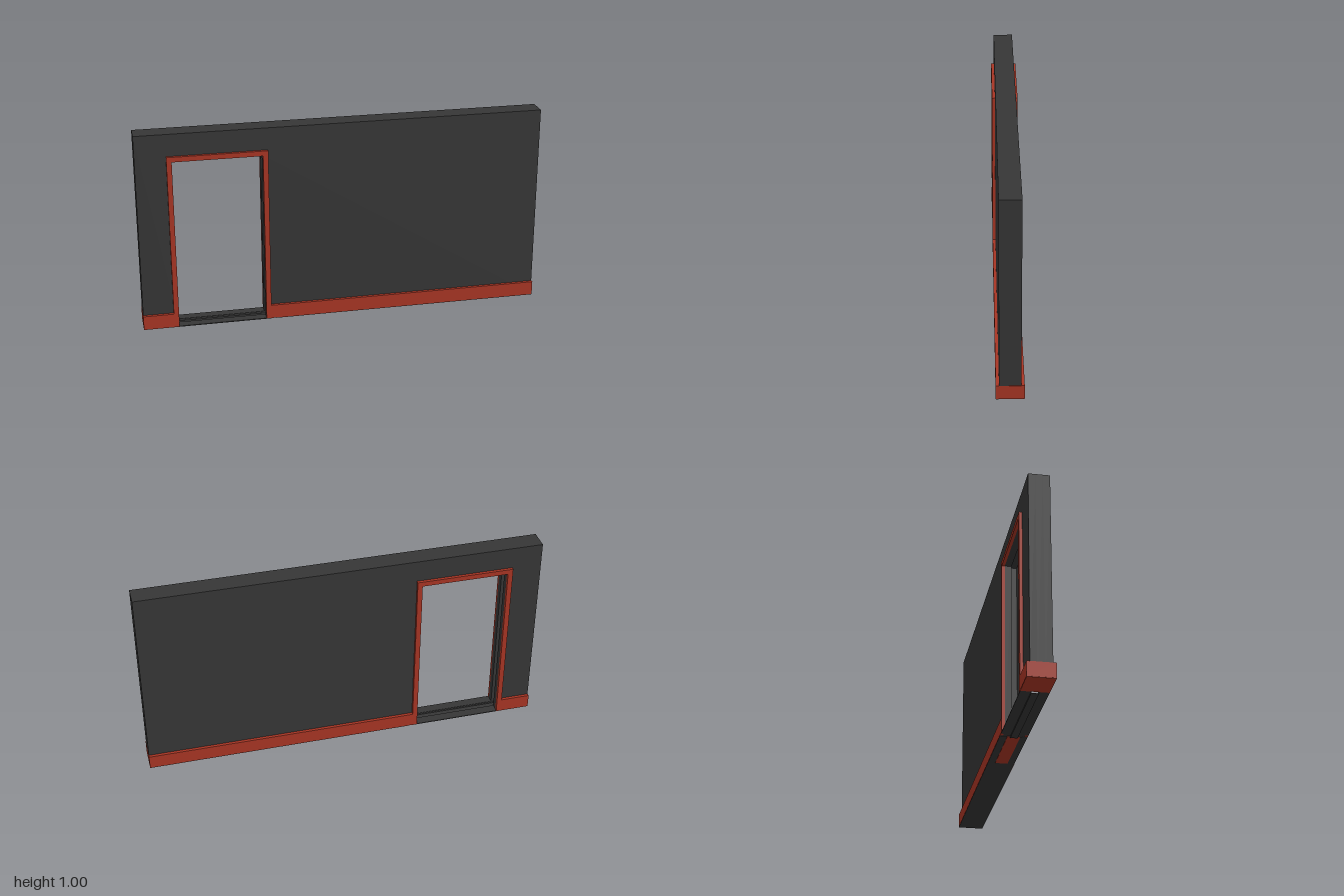
import * as THREE from 'three';

const charcoal = new THREE.MeshStandardMaterial({ color: 0x363636 });
charcoal.name = 'charcoal';
const brickRed = new THREE.MeshStandardMaterial({ color: 0xa83524 });
brickRed.name = 'brickRed';

const BASE = 0.01;                              // underside of the wall
const TOP = 1.005;
const DOOR = { l: -0.825, r: -0.39, top: 0.87 };   // clear opening
const TRIM = { l: -0.85, r: -0.365, top: 0.895 };  // outer edge of the trim
const SLOT = { l: -0.85, r: -0.34, top: 0.89 };    // sliding door groove
const WALL_Z = 0.05, TRIM_Z = 0.065, SLOT_Z = 0.017;

export function createModel() {
  const model = new THREE.Group();
  model.name = 'wallWithDoorway';

  // Box given by its minimum and maximum corners
  const box = (name, material, x0, x1, y0, y1, z0, z1) => {
    const mesh = new THREE.Mesh(new THREE.BoxGeometry(x1 - x0, y1 - y0, z1 - z0), material);
    mesh.position.set((x0 + x1) / 2, (y0 + y1) / 2, (z0 + z1) / 2);
    mesh.name = name;
    model.add(mesh);
  };

  // Upright slab with a doorway notch cut up from its lower edge
  const arch = (name, material, outer, inner, z0, z1) => {
    const shape = new THREE.Shape([
      [outer.l, BASE], [inner.l, BASE], [inner.l, inner.top], [inner.r, inner.top],
      [inner.r, BASE], [outer.r, BASE], [outer.r, outer.top], [outer.l, outer.top],
    ].map(([x, y]) => new THREE.Vector2(x, y)));
    const geometry = new THREE.ExtrudeGeometry(shape, { depth: z1 - z0, bevelEnabled: false });
    geometry.translate(0, 0, z0);
    const mesh = new THREE.Mesh(geometry, material);
    mesh.name = name;
    model.add(mesh);
  };

  // Wall in three layers; the middle one leaves a groove around the doorway
  const wall = { l: -0.999, r: 0.999, top: TOP };
  arch('wallCore', charcoal, wall, SLOT, -SLOT_Z, SLOT_Z);

  for (const s of [1, -1]) {
    const side = s > 0 ? 'front' : 'back';
    const span = (a, b) => (s > 0 ? [a, b] : [-b, -a]);

    arch(side + 'WallLayer', charcoal, wall, DOOR, ...span(SLOT_Z, WALL_Z));
    arch(side + 'DoorTrim', brickRed, TRIM, DOOR, ...span(WALL_Z, TRIM_Z));

    // Skirting on either side of the door trim
    box(side + 'SkirtingShort', brickRed, -1, TRIM.l, BASE, 0.08, ...span(WALL_Z, TRIM_Z));
    box(side + 'SkirtingLong', brickRed, TRIM.r, 1, BASE, 0.08, ...span(WALL_Z, TRIM_Z));

    // Threshold strip and side of the floor channel
    box(side + 'Threshold', charcoal, TRIM.l, TRIM.r, 0.008, 0.012, ...span(SLOT_Z, TRIM_Z - 0.001));
    box(side + 'ChannelSide', charcoal, SLOT.l, SLOT.r, 0, 0.01, ...span(SLOT_Z - 0.002, SLOT_Z));
  }

  // Floor channel bed
  box('channelBed', charcoal, SLOT.l, SLOT.r, 0, 0.002, -SLOT_Z + 0.002, SLOT_Z - 0.002);

  // Skirting returns across both wall ends
  for (const s of [1, -1]) {
    const [x0, x1] = s > 0 ? [0.997, 1] : [-1, -0.997];
    box(s > 0 ? 'leftSkirtingEnd' : 'rightSkirtingEnd', brickRed, x0, x1, BASE, 0.08, -WALL_Z, WALL_Z);
  }

  // Underside plates: dark below the long wall, red below the short one and the pocket
  box('longUnderside', charcoal, SLOT.r, 0.999, 0.008, BASE, -0.064, 0.064);
  box('shortUnderside', brickRed, -0.999, TRIM.l, 0.008, BASE, -0.064, 0.064);
  box('pocketUnderside', brickRed, SLOT.r, 0, 0.006, 0.008, -0.03, 0.03);

  return model;
}
